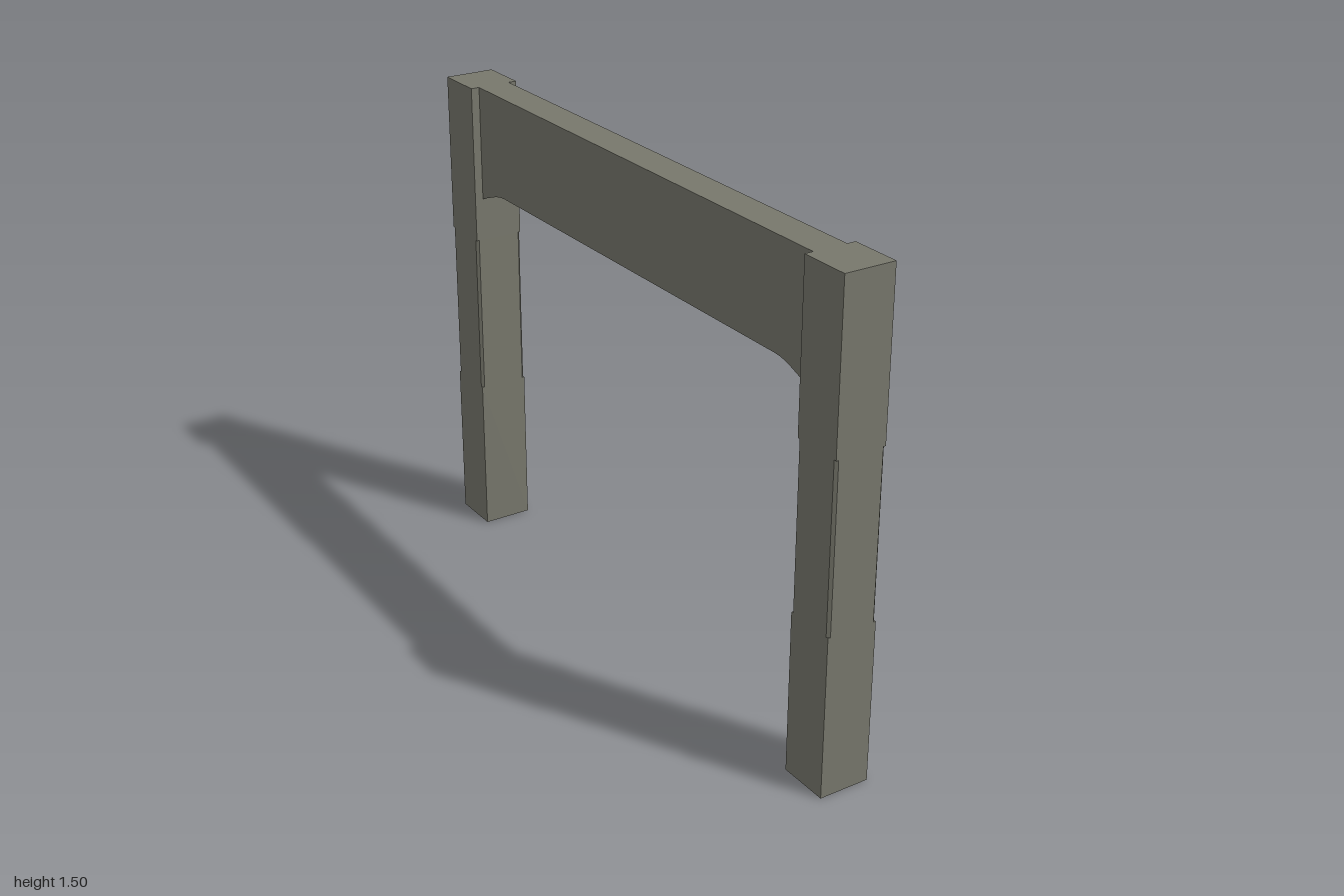
import * as THREE from 'three';

const HEIGHT = 1.505, HALF = 0.0785, POST_Z = 0.9215, INNER_Z = 0.843;

// Square section with optional cut corners, extruded upward from y0 to y1
function postSection(y0, y1, cut, material, name) {
  const a = HALF, b = HALF - cut;
  const corners = cut
    ? [[a, -b], [a, b], [b, a], [-b, a], [-a, b], [-a, -b], [-b, -a], [b, -a]]
    : [[a, -a], [a, a], [-a, a], [-a, -a]];
  const shape = new THREE.Shape(corners.map(([x, y]) => new THREE.Vector2(x, y)));
  const geometry = new THREE.ExtrudeGeometry(shape, { depth: y1 - y0, bevelEnabled: false });
  geometry.rotateX(-Math.PI / 2).translate(0, y0, 0);
  const mesh = new THREE.Mesh(geometry, material);
  mesh.name = name;
  return mesh;
}

export function createModel() {
  const timber = new THREE.MeshStandardMaterial({ color: 0x77776c });
  timber.name = 'weathered timber';
  const model = new THREE.Group();
  model.name = 'timberFrame';

  // Two posts with chamfered middle sections
  for (const side of [1, -1]) {
    const post = new THREE.Group();
    post.name = side > 0 ? 'frontPost' : 'backPost';
    post.add(
      postSection(0, 0.5, 0, timber, 'postFoot'),
      postSection(0.5, 1.01, 0.008, timber, 'postChamferedShaft'),
      postSection(1.01, HEIGHT, 0, timber, 'postHead'),
    );
    post.position.z = side * POST_Z;
    model.add(post);
  }

  // Cross beam with a curved haunch at each end
  const haunch = [[0.7, 1.185], [0.727, 1.183], [0.755, 1.177], [0.8, 1.161], [INNER_Z, 1.145]];
  const outline = [
    ...haunch,
    [INNER_Z, HEIGHT],
    [-INNER_Z, HEIGHT],
    ...haunch.map(([z, y]) => [-z, y]).reverse(),
  ].map(([z, y]) => new THREE.Vector2(z, y));
  const geometry = new THREE.ExtrudeGeometry(new THREE.Shape(outline), { depth: 0.104, bevelEnabled: false });
  geometry.translate(0, 0, -0.052).rotateY(-Math.PI / 2);
  const beam = new THREE.Mesh(geometry, timber);
  beam.name = 'crossBeam';
  model.add(beam);

  return model;
}
